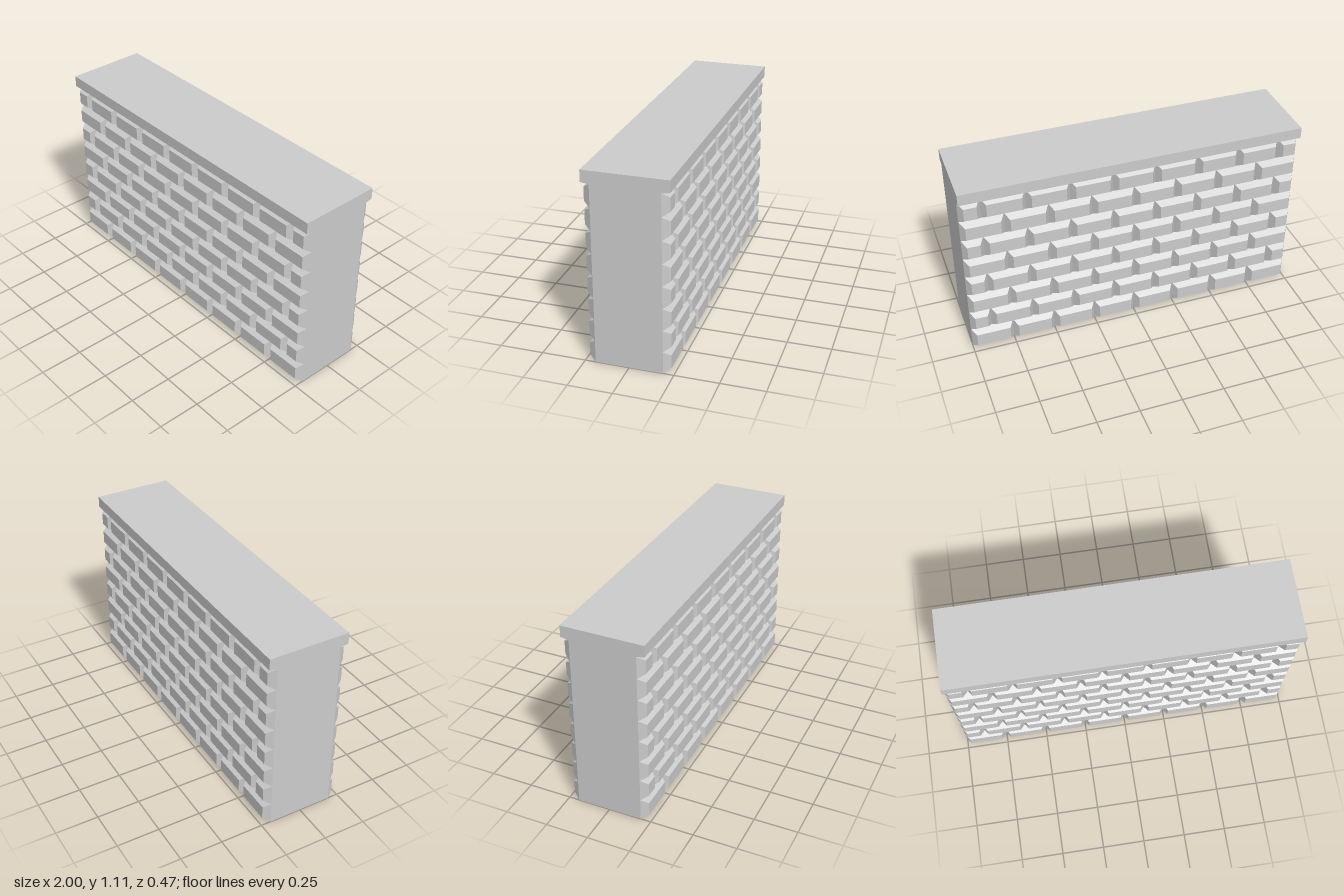
import * as THREE from 'three';
import { mergeGeometries } from 'three/addons/utils/BufferGeometryUtils.js';

const LENGTH = 2, ROWS = 8, ROW_H = 1.035 / ROWS, BRICK = 0.25;
const CORE_Z = 0.19, FACE_Z = 0.23, BEVEL = 0.026;
const TOP = 1.11, CAP_Z = 0.237;

const material = new THREE.MeshStandardMaterial({ color: 0xcccccc });

// Box keeping only the listed sides (0 +x, 1 -x, 2 +y, 3 -y, 4 +z, 5 -z)
function openBox(w, h, d, sides) {
  const g = new THREE.BoxGeometry(w, h, d);
  const index = Array.from(g.index.array);
  g.setIndex(sides.flatMap(s => index.slice(s * 6, s * 6 + 6)));
  return g;
}

// Brick face with four bevelled sides, open at the back where it meets the core
function brick(x0, x1, y0, y1) {
  const w = x1 - x0, h = y1 - y0;
  const g = openBox(w, h, FACE_Z - CORE_Z, [0, 1, 2, 3, 4]);
  const p = g.attributes.position;
  for (let i = 0; i < p.count; i++) {
    if (p.getZ(i) < 0) continue;
    p.setX(i, p.getX(i) - Math.sign(p.getX(i)) * BEVEL);
    p.setY(i, p.getY(i) - Math.sign(p.getY(i)) * BEVEL);
  }
  g.computeVertexNormals();
  return g.translate((x0 + x1) / 2, (y0 + y1) / 2, (CORE_Z + FACE_Z) / 2);
}

// Running bond: every second row is shifted by half a brick
function brickFace() {
  const parts = [];
  for (let row = 0; row < ROWS; row++) {
    const start = -LENGTH / 2 - (row % 2 ? BRICK / 2 : 0);
    for (let x = start; x < LENGTH / 2 - 0.001; x += BRICK) {
      const x0 = Math.max(x, -LENGTH / 2), x1 = Math.min(x + BRICK, LENGTH / 2);
      parts.push(brick(x0, x1, row * ROW_H, (row + 1) * ROW_H));
    }
  }
  return mergeGeometries(parts);
}

export function createModel() {
  const wall = new THREE.Group();
  wall.name = 'brickWall';
  const add = (name, geometry) => {
    const mesh = new THREE.Mesh(geometry, material);
    mesh.name = name;
    wall.add(mesh);
    return mesh;
  };

  // Core: plain ends and underside
  const coreH = ROWS * ROW_H;
  add('core', openBox(LENGTH, coreH, CORE_Z * 2, [0, 1, 3]).translate(0, coreH / 2, 0));

  // The same brickwork on both faces
  const bricks = brickFace();
  add('frontBricks', bricks);
  add('backBricks', bricks).rotation.y = Math.PI;

  // Coping slab with a slightly sloping underside
  const profile = new THREE.Shape([
    [-CORE_Z, coreH], [CORE_Z, coreH], [CAP_Z, coreH + 0.009],
    [CAP_Z, TOP], [-CAP_Z, TOP], [-CAP_Z, coreH + 0.009],
  ].map(([z, y]) => new THREE.Vector2(z, y)));
  const cap = new THREE.ExtrudeGeometry(profile, { depth: LENGTH, bevelEnabled: false });
  add('coping', cap.translate(0, 0, -LENGTH / 2).rotateY(Math.PI / 2));

  return wall;
}
